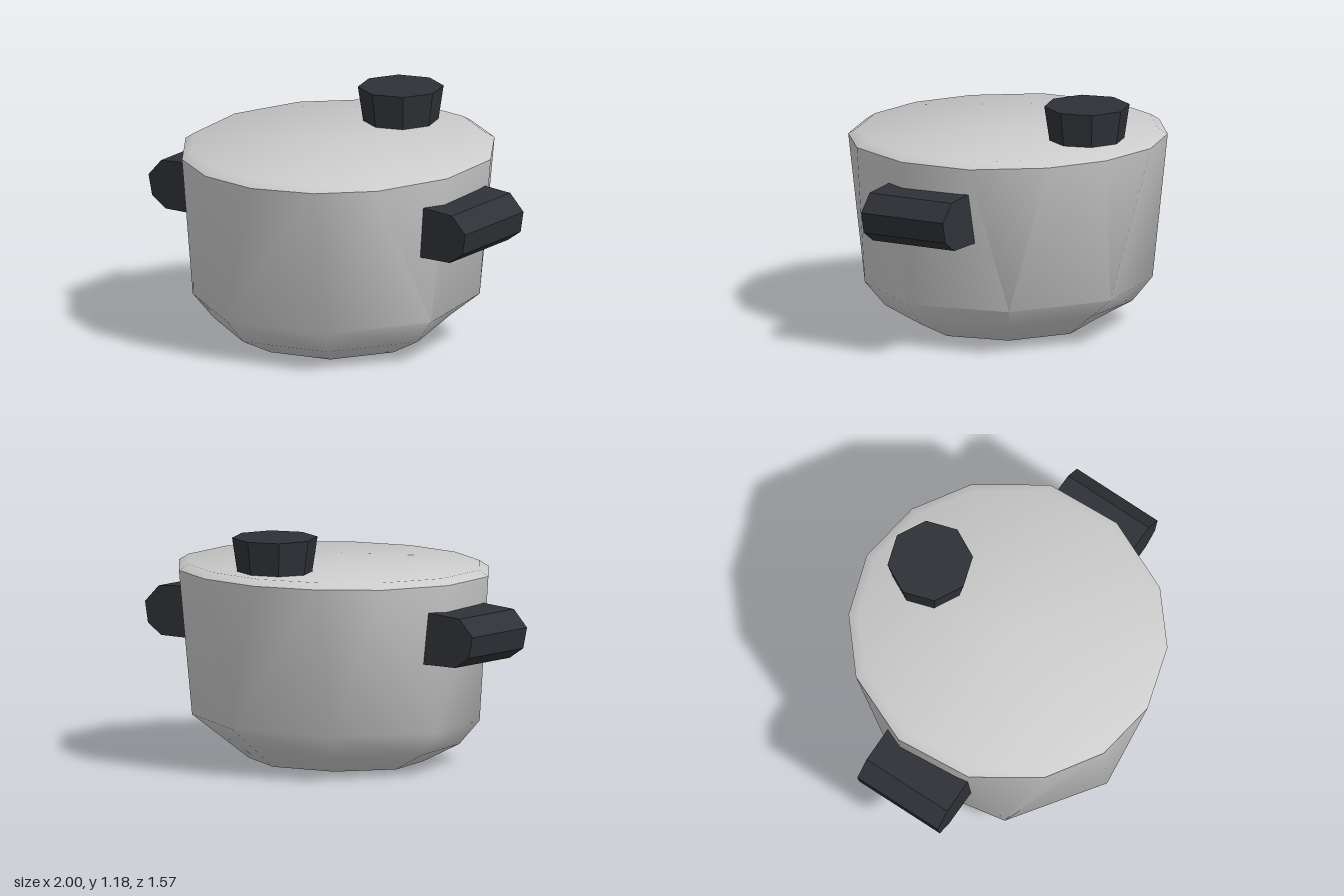
import * as THREE from 'three';
import { toCreasedNormals } from 'three/addons/utils/BufferGeometryUtils.js';

const TILT = 0.026; // the whole pot leans slightly, rising to the back

// Slightly uneven 14-sided rim, as [x, z]
const RIM = [
  [-0.22, -0.77], [0.11, -0.79], [0.41, -0.68], [0.69, -0.41], [0.79, -0.04],
  [0.71, 0.35], [0.52, 0.6], [0.23, 0.76], [-0.09, 0.78], [-0.39, 0.67],
  [-0.66, 0.41], [-0.775, 0.03], [-0.7, -0.35], [-0.5, -0.61],
];

const point = (x, y, z) => new THREE.Vector3(x, y - TILT * z, z);
const rimRing = (scale, y) => RIM.map(([x, z]) => point(x * scale, y, z * scale));

// Eight-sided ring, from the front towards +x; the rear corners may differ
function ring(radius, y, rearRadius = radius, rearY = y) {
  return Array.from({ length: 8 }, (_, i) => {
    const a = (i / 8) * Math.PI * 2;
    const rear = i === 3 || i === 4;
    const r = rear ? rearRadius : radius;
    return point(Math.sin(a) * r, rear ? rearY : y, Math.cos(a) * r);
  });
}

// Angle around the pot, counted from just before the front
const angle = (p) => (Math.atan2(p.x, p.z) + 0.2 + Math.PI * 2) % (Math.PI * 2);

// Skin between neighbouring rings, bottom to top; a one-point ring makes a cap
function loft(name, rings, material) {
  const sorted = rings.map((r) => [...r].sort((p, q) => angle(p) - angle(q)));
  const corners = [];
  for (let k = 0; k + 1 < sorted.length; k++) {
    const [low, high] = [sorted[k], sorted[k + 1]];
    const at = (r, i) => r[i % r.length];
    const next = (r, i) => (i + 1 < r.length ? angle(r[i + 1]) : angle(r[0]) + Math.PI * 2);
    const steps = (r) => (r.length > 1 ? r.length : 0);
    let i = 0;
    let j = 0;
    while (i < steps(low) || j < steps(high)) {
      const moveLow = i < steps(low) && (j >= steps(high) || next(low, i) <= next(high, j));
      if (moveLow) {
        corners.push(at(low, i), at(low, i + 1), at(high, j));
        i++;
      } else {
        corners.push(at(low, i), at(high, j + 1), at(high, j));
        j++;
      }
    }
  }
  const geometry = new THREE.BufferGeometry().setFromPoints(corners);
  const mesh = new THREE.Mesh(toCreasedNormals(geometry, 0.9), material);
  mesh.name = name;
  return mesh;
}

export function createModel() {
  const model = new THREE.Group();
  model.name = 'cookingPot';
  const steel = new THREE.MeshStandardMaterial({ color: 0xcccccc });
  const dark = new THREE.MeshStandardMaterial({ color: 0x2e3136, flatShading: true });

  // Pot body: flat base, chamfered foot that runs straight at the rear, faceted wall
  model.add(loft('potBody', [
    [point(0, 0.012, 0)],
    ring(0.43, 0.014),
    ring(0.61, 0.105, 0.57, 0.12),
    ring(0.71, 0.225),
    rimRing(1, 0.97),
  ], steel));

  // Lid: shallow bevel up to an almost flat top
  model.add(loft('lid', [
    rimRing(1, 0.97),
    rimRing(0.94, 1.0),
    [point(0, 1.008, 0)],
  ], steel));

  // Lid knob, set towards the back
  const knob = new THREE.Mesh(new THREE.CylinderGeometry(0.212, 0.185, 0.18, 8), dark);
  knob.name = 'lidKnob';
  knob.position.set(-0.065, 1.096, -0.48);
  knob.rotation.y = 0.12;
  model.add(knob);

  // Side handles: rounded profile extruded along the pot's side
  const profile = new THREE.Shape([
    [-0.17, -0.13], [0.04, -0.13], [0.12, -0.075], [0.14, 0.03], [0.06, 0.115], [-0.14, 0.13],
  ].map(([x, y]) => new THREE.Vector2(x, y)));
  const handleGeometry = new THREE.ExtrudeGeometry(profile, { depth: 0.48, bevelEnabled: false });
  handleGeometry.translate(0, 0, -0.24);
  const handles = new THREE.Group();
  handles.name = 'handles';
  handles.position.z = -0.018;
  handles.rotation.x = TILT;
  for (const side of [1, -1]) {
    const handle = new THREE.Mesh(handleGeometry, dark);
    handle.name = side > 0 ? 'leftHandle' : 'rightHandle';
    handle.position.set(side * 0.815, 0.71, side * -0.177);
    handle.rotation.y = 0.21 + (side > 0 ? 0 : Math.PI);
    handles.add(handle);
  }
  model.add(handles);

  return model;
}
